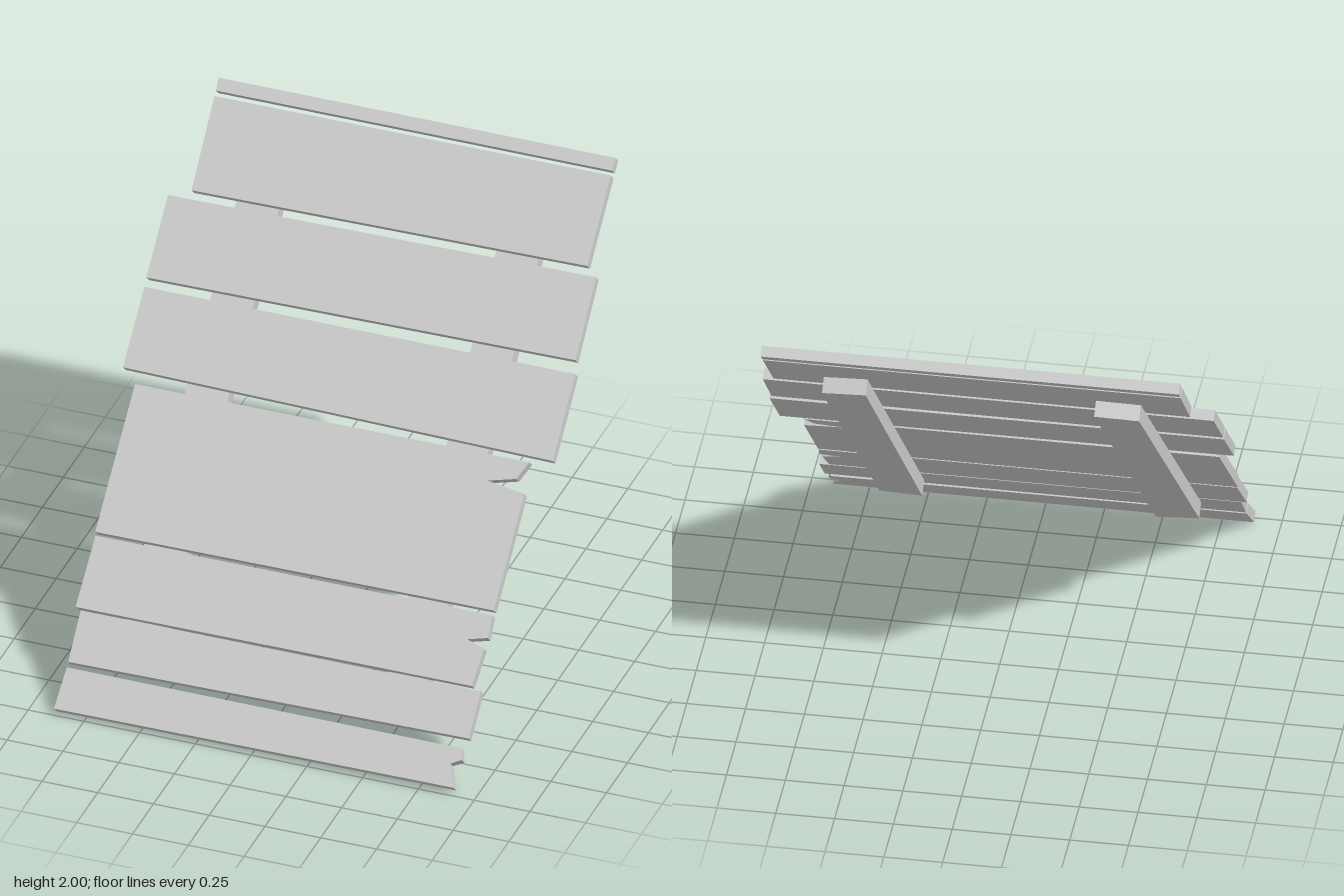
import * as THREE from 'three';

const SLOPE = Math.SQRT2;      // length along the 45 degree slope per unit of height
const BOARD = 0.0467;          // board thickness
const BEAM = 0.069;            // beam thickness

// Extrudes an outline lying in the sloped plane; its front face sits at depth `front`
function slab(name, outline, thickness, front, material) {
  const shape = new THREE.Shape(outline.map(([x, y]) => new THREE.Vector2(x, y * SLOPE)));
  const geometry = new THREE.ExtrudeGeometry(shape, { depth: thickness, bevelEnabled: false });
  geometry.translate(0, 0, front - thickness);
  const mesh = new THREE.Mesh(geometry, material);
  mesh.name = name;
  return mesh;
}

export function createModel() {
  const wood = new THREE.MeshStandardMaterial({ color: 0xcccccc });
  wood.name = 'pale grey wood';

  // Board outlines as [x, height], counter-clockwise from the lower left corner
  const boards = [
    // lowest board, split right end
    [[-0.885, 0.033], [0.905, 0.038], [0.865, 0.108], [0.91, 0.125], [0.895, 0.16], [-0.875, 0.163]],
    [[-0.875, 0.18], [0.915, 0.193], [0.915, 0.34], [-0.88, 0.34]],
    // narrow board with a small crack
    [[-0.905, 0.347], [0.87, 0.35], [0.882, 0.468], [0.8, 0.486], [0.886, 0.502], [0.88, 0.572], [-0.9, 0.57]],
    // wide board with a long crack
    [[-0.905, 0.581], [0.88, 0.587], [0.88, 0.95], [0.71, 0.968], [0.83, 0.99], [0.867, 1.047], [-0.9, 1.043]],
    [[-0.97, 1.085], [0.965, 1.065], [0.965, 1.336], [-0.968, 1.336]],
    [[-0.97, 1.365], [0.95, 1.377], [0.945, 1.635], [-0.97, 1.622]],
    [[-0.875, 1.65], [0.895, 1.663], [0.895, 1.945], [-0.882, 1.943]],
    // thin top strip
    [[-0.882, 1.96], [0.895, 1.96], [0.895, 2.0], [-0.885, 2.0]],
  ];

  // Two supporting beams with roughly cut ends
  const beams = {
    leftBeam: [[0.485, 0.237], [0.665, 0.262], [0.665, 1.762], [0.475, 1.787]],
    rightBeam: [[-0.7, 0.28], [-0.51, 0.243], [-0.495, 1.778], [-0.685, 1.77]],
  };

  const panel = new THREE.Group();
  panel.name = 'leaningPanel';
  boards.forEach((outline, i) => panel.add(slab(`board${i + 1}`, outline, BOARD, 0, wood)));
  for (const [name, outline] of Object.entries(beams)) {
    panel.add(slab(name, outline, BEAM, -BOARD, wood));
  }

  // Lean the panel back
  panel.rotation.x = -Math.PI / 4;
  panel.position.z = 1.033;

  const model = new THREE.Group();
  model.name = 'plankPanel';
  model.add(panel);
  return model;
}
